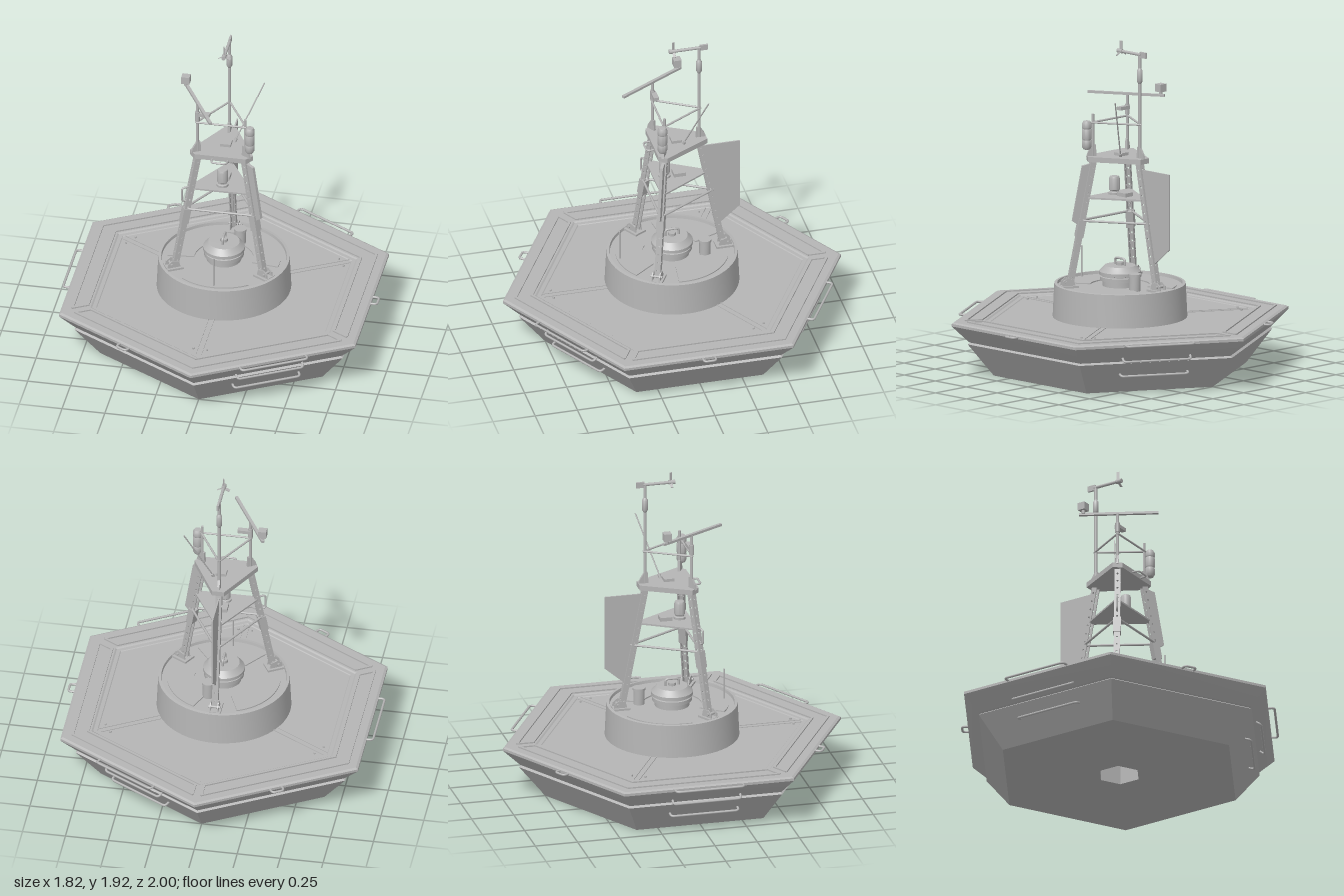
import * as THREE from 'three';
import { toCreasedNormals } from 'three/addons/utils/BufferGeometryUtils.js';

const V = (x, y, z) => new THREE.Vector3(x, y, z);
const UP = V(0, 1, 0);
const deg = THREE.MathUtils.degToRad;

export function createModel() {
  const model = new THREE.Group();
  const grey = new THREE.MeshStandardMaterial({ color: 0xb5b5b5 });
  grey.name = 'paintedGrey';
  grey.side = THREE.DoubleSide;

  const add = (name, geo, parent = model, pos) => {
    const m = new THREE.Mesh(geo, grey);
    m.name = name;
    if (pos) m.position.set(...pos);
    parent.add(m);
    return m;
  };
  const group = (name, angle = 0, parent = model) => {
    const g = new THREE.Group();
    g.name = name;
    g.rotation.y = deg(angle);
    parent.add(g);
    return g;
  };
  const box = (name, w, h, d, pos, parent) => add(name, new THREE.BoxGeometry(w, h, d), parent, pos);
  const cyl = (name, r1, r2, h, pos, parent) =>
    add(name, toCreasedNormals(new THREE.CylinderGeometry(r1, r2, h, 20), 0.7), parent, pos);
  const lathe = (name, pts, seg, crease, parent, pos) =>
    add(name, toCreasedNormals(new THREE.LatheGeometry(pts.map(p => new THREE.Vector2(...p)), seg), crease), parent, pos);
  // Round rod between two points
  const rod = (name, a, b, r, parent) => {
    const d = b.clone().sub(a);
    const m = add(name, new THREE.CylinderGeometry(r, r, d.length(), 10), parent);
    m.position.copy(a).add(b).multiplyScalar(0.5);
    m.quaternion.setFromUnitVectors(UP, d.normalize());
    return m;
  };
  // Rectangular bar between two points
  const beam = (name, a, b, w, h, parent) => {
    const d = b.clone().sub(a);
    const m = box(name, w, h, d.length() + w * 0.5, [0, 0, 0], parent);
    m.position.copy(a).add(b).multiplyScalar(0.5);
    m.quaternion.setFromRotationMatrix(new THREE.Matrix4().lookAt(b, a, UP));
    return m;
  };
  // Flat plate from an outline, with optional holes, centred on its thickness
  const plate = (name, pts, t, parent, holes = []) => {
    const s = new THREE.Shape(pts.map(p => new THREE.Vector2(...p)));
    for (const [x, y, r] of holes) s.holes.push(new THREE.Path().absarc(x, y, r, 0, Math.PI * 2, true));
    const g = new THREE.ExtrudeGeometry(s, { depth: t, bevelEnabled: false, curveSegments: 8 });
    return add(name, g.translate(0, 0, -t / 2), parent);
  };
  // U-shaped grab rail of half width w, standing out by d along local z
  const handle = (name, w, d, r, parent) => {
    const c = Math.min(0.02, d * 0.6);
    const path = new THREE.CurvePath();
    const p = [V(-w, 0, -0.015), V(-w, 0, d - c), V(-w + c, 0, d), V(w - c, 0, d), V(w, 0, d - c), V(w, 0, -0.015)];
    path.add(new THREE.LineCurve3(p[0], p[1]));
    path.add(new THREE.QuadraticBezierCurve3(p[1], V(-w, 0, d), p[2]));
    path.add(new THREE.LineCurve3(p[2], p[3]));
    path.add(new THREE.QuadraticBezierCurve3(p[3], V(w, 0, d), p[4]));
    path.add(new THREE.LineCurve3(p[4], p[5]));
    return add(name, new THREE.TubeGeometry(path, 60, r, 8), parent);
  };

  // Hexagonal hull with a recess underneath
  lathe('hull', [[0, 0.2], [0.125, 0.2], [0.125, 0], [0.75, 0], [0.905, 0.19], [0.89, 0.2], [0.9, 0.205], [0.995, 0.295],
    [1, 0.3], [1, 0.315], [0.985, 0.322], [0.81, 0.322], [0.8, 0.316], [0.775, 0.316], [0.77, 0.312], [0, 0.312]], 6, 0.05);

  // Raised deck frames and seams, three sets
  for (const a of [0, 120, 240]) {
    const g = group('deckFrame', a);
    const y = 0.323;
    const loop = [[0, 0.925], [0.775, 0.4775], [0.693, 0.43], [0, 0.83], [-0.693, 0.43], [-0.775, 0.4775]];
    loop.forEach((p, i) => {
      const q = loop[(i + 1) % 6];
      beam('frameBar', V(p[0], y, p[1]), V(q[0], y, q[1]), 0.014, 0.014, g);
    });
    for (const s of [-1, 1]) {
      box('deckSeam', 0.006, 0.006, 0.4, [s * 0.016, 0.313, 0.57], g);
      cyl('deckBolt', 0.006, 0.006, 0.012, [s * 0.04, 0.316, 0.71], g);
    }
  }

  // Grab rails on alternating hull sides
  for (const a of [30, 150, 270]) {
    const g = group('longRails', a);
    for (const [y, z, tilt, w] of [[0.31, 0.866, 0, 0.2], [0.225, 0.795, 0.55, 0.2], [0.12, 0.733, 0.25, 0.2]]) {
      const h = handle('longRail', w, 0.036, 0.007, g);
      h.position.set(0, y, z);
      h.rotation.x = tilt;
    }
    handle('shortRail', 0.036, 0.035, 0.007, group('shortRails', a + 60)).position.set(0, 0.31, 0.866);
  }

  // Central drum with sunken lid and hatch
  lathe('drum', [[0.387, 0.305], [0.377, 0.505], [0.36, 0.507], [0.357, 0.49], [0, 0.49]], 64, 0.5);
  for (const a of [0, 120, 240]) {
    const s = new THREE.Shape();
    s.absarc(0, 0, 0.325, deg(53), deg(127), false);
    s.absarc(0, 0, 0.17, deg(127), deg(53), true);
    const g = new THREE.ExtrudeGeometry(s, { depth: 0.007, bevelEnabled: false, curveSegments: 24 });
    g.rotateX(Math.PI / 2).translate(0, 0.497, 0);
    add('lidPanel', g, group('lidPanels', a));
  }
  lathe('hatch', [[0.1, 0.49], [0.1, 0.52], [0.115, 0.523], [0.115, 0.545], [0.107, 0.548], [0.107, 0.553], [0.12, 0.556],
    [0.12, 0.575], [0.105, 0.59], [0.09, 0.608], [0, 0.61]], 40, 0.45);
  const hatchHandle = handle('hatchHandle', 0.04, 0.038, 0.007, group('hatchHandles', 90));
  hatchHandle.position.y = 0.61;
  hatchHandle.rotation.x = -Math.PI / 2;
  cyl('hatchKnob', 0.022, 0.022, 0.02, [0, 0.617, 0]);
  cyl('ventCanister', 0.033, 0.033, 0.09, [0.06, 0.535, -0.18]);
  cyl('ventCap', 0.037, 0.037, 0.015, [0.06, 0.582, -0.18]);
  rod('shortAerial', V(0, 0.49, 0.31), V(0, 0.68, 0.31), 0.004);

  // Three inclined legs, built along local y and leaning inwards
  const length = Math.hypot(0.72, 0.14);
  for (const a of [60, -60, 180]) {
    const g = group('legAssembly', a);
    const leg = group('leg', 0, g);
    leg.position.set(0, 0.5, 0.3);
    leg.rotation.x = -Math.atan2(0.14, 0.72);
    const holes = [];
    for (let i = 0; i < 14; i++) holes.push([0, 0.05 + i * 0.05, 0.006]);
    const strip = [[-0.017, 0], [0.017, 0], [0.017, length], [-0.017, length]];
    plate('legWeb', strip, 0.006, leg, holes).position.z = 0.014;
    for (const s of [-1, 1]) plate('legFlange', strip, 0.005, leg, holes).rotation.y = s * Math.PI / 2;
    leg.children.slice(1).forEach((m, i) => { m.position.x = i ? 0.015 : -0.015; });
    if (a !== 180) box('legSleeve', 0.044, 0.1, 0.044, [0, 0.34, 0], leg);
    // Foot with side gussets
    box('footPlate', 0.08, 0.012, 0.1, [0, 0.5, 0.305], g);
    for (const s of [-1, 1]) {
      const m = plate('footGusset', [[-0.35, 0.5], [-0.345, 0.53], [-0.32, 0.55], [-0.28, 0.54], [-0.27, 0.5]], 0.007, g);
      m.rotation.y = Math.PI / 2;
      m.position.x = s * 0.022;
    }
    rod('footPin', V(-0.035, 0.525, 0.325), V(0.035, 0.525, 0.325), 0.008, g);
    // Corner gusset at the base of each upper post
    const m = plate('postGusset', [[-0.2, 1.25], [-0.19, 1.28], [-0.165, 1.32], [-0.145, 1.32], [-0.14, 1.25]], 0.014, g);
    m.rotation.y = Math.PI / 2;
  }

  // Tail vane on the back leg and fin on the left leg
  plate('tailVane', [[0.18, 1.19], [0.4, 1.19], [0.4, 0.75], [0.27, 0.64]], 0.008).rotation.y = Math.PI / 2;
  plate('legFin', [[-0.18, 1.21], [-0.225, 1.2], [-0.285, 0.88], [-0.25, 0.855]], 0.018, group('legFins', 60)).rotation.y = Math.PI / 2;
  const legLoop = handle('legLoop', 0.045, 0.035, 0.006, group('legLoops', -60));
  legLoop.position.set(0, 0.975, 0.22);
  legLoop.rotation.z = Math.PI / 2;

  // Triangular platforms and rod braces
  const deck = (name, pts, y, t) => {
    const m = plate(name, pts, t);
    m.rotation.x = Math.PI / 2;
    m.position.y = y;
  };
  deck('topPlatform', [[0.15, 0.12], [0.185, 0.075], [0.035, -0.2], [-0.035, -0.2], [-0.185, 0.075], [-0.15, 0.12]], 1.24, 0.03);
  deck('middlePlatform', [[0.165, 0.11], [0.18, 0.08], [0.02, -0.19], [-0.02, -0.19], [-0.18, 0.08], [-0.165, 0.11]], 1.012, 0.01);
  const brace = (y, r, t) => [60, 180, -60].forEach((a, i, l) => {
    const at = d => V(r * Math.sin(deg(d)), y, r * Math.cos(deg(d)));
    rod('brace', at(a), at(l[(i + 1) % 3]), t);
  });
  brace(0.88, 0.245, 0.007);
  brace(1.45, 0.17, 0.006);
  handle('platformHandle', 0.045, 0.04, 0.006).position.set(0, 1.235, 0.12);
  box('junctionBox', 0.06, 0.02, 0.06, [0.01, 1.262, -0.02]);

  // Lamp and instrument on the middle platform
  lathe('lamp', [[0.035, 1.015], [0.035, 1.03], [0.026, 1.034], [0.026, 1.04], [0.031, 1.045], [0.031, 1.11], [0.026, 1.122], [0, 1.124]],
    24, 0.6, model, [0, 0, 0.045]);
  box('instrumentBox', 0.06, 0.022, 0.07, [0, 1.028, -0.04]);

  // Back mast with propeller wind sensor
  cyl('mast', 0.009, 0.009, 0.64, [0, 1.54, -0.16]);
  lathe('mastCollar', [[0.009, 1.69], [0.017, 1.705], [0.017, 1.765], [0.009, 1.78]], 20, 0.6, model, [0, 0, -0.16]);
  rod('windArm', V(0, 1.86, -0.17), V(0, 1.86, 0), 0.009);
  box('windTail', 0.012, 0.034, 0.05, [0, 1.86, -0.188]);
  rod('windHub', V(0, 1.86, -0.02), V(0, 1.86, 0.018), 0.013);
  for (let i = 0; i < 3; i++) {
    const p = group('propeller');
    p.position.set(0, 1.86, -0.008);
    p.rotation.z = i * Math.PI * 2 / 3;
    box('blade', 0.005, i ? 0.04 : 0.06, 0.016, [0, i ? 0.02 : 0.03, 0], p).rotation.y = 0.4;
  }

  // Right post with cross arm and sensor
  cyl('rightPost', 0.009, 0.009, 0.34, [-0.14, 1.41, 0.08]);
  cyl('rightPostCollar', 0.014, 0.014, 0.06, [-0.14, 1.49, 0.08]);
  beam('crossArm', V(-0.245, 1.58, -0.11), V(-0.025, 1.58, 0.28), 0.018, 0.014);
  cyl('sensorStem', 0.01, 0.01, 0.03, [-0.24, 1.595, -0.09]);
  box('sensorHead', 0.048, 0.045, 0.045, [-0.24, 1.624, -0.09]);
  box('sensorBracket', 0.075, 0.02, 0.03, [-0.105, 1.502, 0.075]);

  // Left post with canister and whip aerial
  cyl('leftPost', 0.008, 0.008, 0.26, [0.14, 1.37, 0.08]);
  lathe('canister', [[0, 1.29], [0.02, 1.295], [0.028, 1.31], [0.028, 1.345], [0.025, 1.35], [0.028, 1.355], [0.028, 1.41],
    [0.025, 1.415], [0.028, 1.42], [0.028, 1.445], [0.02, 1.46], [0, 1.462]], 24, 0.6, model, [0.17, 0, 0.1]);
  rod('whipAerial', V(0.05, 1.255, -0.055), V(0.205, 1.605, -0.165), 0.004);
  rod('whipBase', V(0.05, 1.25, -0.055), V(0.06, 1.275, -0.062), 0.009);
  return model;
}
